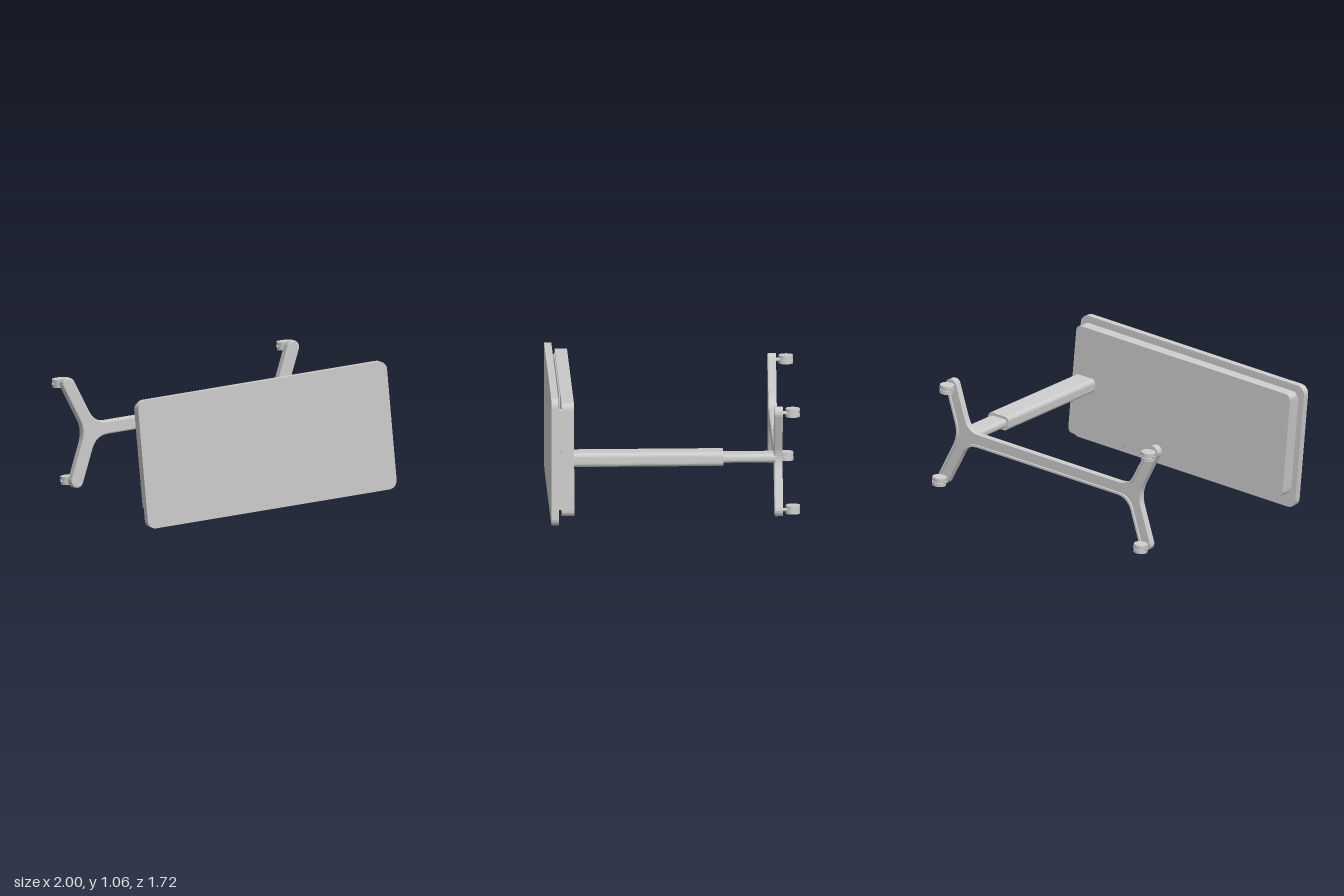
import * as THREE from 'three';

const grey = new THREE.MeshStandardMaterial({ color: 0xcccccc, flatShading: true });

function add(parent, name, geometry, x = 0, y = 0, z = 0) {
  const mesh = new THREE.Mesh(geometry, grey);
  mesh.name = name;
  mesh.position.set(x, y, z);
  parent.add(mesh);
  return mesh;
}

// Rounded rectangle centred on the origin
function roundedRect(w, h, r) {
  const s = new THREE.Shape(), x = w / 2 - r, y = h / 2 - r, q = Math.PI / 2;
  s.absarc(x, y, r, 0, q);
  s.absarc(-x, y, r, q, 2 * q);
  s.absarc(-x, -y, r, 2 * q, 3 * q);
  s.absarc(x, -y, r, 3 * q, 4 * q);
  s.closePath();
  return s;
}

const slab = (shape, depth, curveSegments = 5) =>
  new THREE.ExtrudeGeometry(shape, { depth, curveSegments, bevelEnabled: false });

// Housing back: rounded rectangle whose lower edge steps up for a hand grip
function housingShape() {
  const s = new THREE.Shape(), X = 0.91, T = 0.41, B = -0.388, G = -0.348, r = 0.045;
  s.moveTo(X - r, T);
  s.lineTo(-X + r, T);
  s.quadraticCurveTo(-X, T, -X, T - r);
  s.lineTo(-X, G + r);
  s.quadraticCurveTo(-X, G, -X + r, G);
  s.lineTo(0.4, G);
  s.bezierCurveTo(0.44, G, 0.44, B, 0.48, B);
  s.lineTo(X - r, B);
  s.quadraticCurveTo(X, B, X, B + r);
  s.lineTo(X, T - r);
  s.quadraticCurveTo(X, T, X - r, T);
  return s;
}

const JOINT = 0.715, TIP = new THREE.Vector2(0.857, 0.342);

// Outline of the foot frame: a cross bar with a forked pair of legs at each end
function frameOutline(r) {
  const joint = new THREE.Vector2(JOINT, 0);
  const d = TIP.clone().sub(joint).normalize();
  const n = new THREE.Vector2(d.y, -d.x);
  const fillet = 0.09;
  const outer = new THREE.Vector2(JOINT + r / n.x, 0);
  const inner = joint.clone().addScaledVector(n, -r);
  inner.addScaledVector(d, (r - inner.y) / d.y);
  const quad = [];
  // half of the fillet between the two legs, run along the outer edge
  const a = outer.clone().addScaledVector(d, fillet);
  const b = new THREE.Vector2(a.x, -a.y);
  quad.push(...new THREE.QuadraticBezierCurve(b, outer, a).getPoints(8).slice(4));
  // rounded leg tip
  for (let i = 0; i <= 8; i++) {
    const t = (i / 8) * Math.PI;
    quad.push(TIP.clone().addScaledVector(n, r * Math.cos(t)).addScaledVector(d, r * Math.sin(t)));
  }
  // fillet between leg and cross bar
  const c = inner.clone().addScaledVector(d, fillet);
  const e = new THREE.Vector2(inner.x - fillet, r);
  quad.push(...new THREE.QuadraticBezierCurve(c, inner, e).getPoints(5));
  const flip = (sx, sy) => quad.map(p => new THREE.Vector2(p.x * sx, p.y * sy));
  return [
    ...quad,
    ...flip(-1, 1).reverse(),
    ...flip(-1, -1).slice(1),
    ...flip(1, -1).reverse().slice(0, -1),
  ];
}

function makeFootFrame() {
  const frame = new THREE.Group();
  frame.name = 'footFrame';
  // top plate with bevelled upper edge
  const plate = new THREE.ExtrudeGeometry(new THREE.Shape(frameOutline(0.046)), {
    depth: 0.025, bevelEnabled: true, bevelThickness: 0.01, bevelSize: 0.01,
    bevelOffset: -0.01, bevelSegments: 2,
  });
  add(frame, 'framePlate', plate, 0, 0, -0.715);
  // raised rim around the hollow underside
  const rim = new THREE.Shape(frameOutline(0.046));
  rim.holes.push(new THREE.Path(frameOutline(0.032)));
  add(frame, 'frameRim', slab(rim, 0.037), 0, 0, -0.74);
  // casters under each leg tip
  for (const sx of [-1, 1]) for (const sy of [-1, 1]) {
    const caster = new THREE.Group();
    caster.name = 'caster';
    caster.position.set(sx * TIP.x, sy * TIP.y, 0);
    const stem = add(caster, 'casterStem', new THREE.CylinderGeometry(0.013, 0.013, 0.075, 10), 0, 0, -0.755);
    stem.rotation.x = Math.PI / 2;
    for (const side of [-1, 1])
      add(caster, 'casterWheel', new THREE.CylinderGeometry(0.05, 0.05, 0.024, 16), -0.016, side * 0.017, -0.809);
    add(caster, 'casterHub', new THREE.CylinderGeometry(0.043, 0.043, 0.03, 16), -0.016, 0, -0.807);
    add(caster, 'casterFork', new THREE.BoxGeometry(0.112, 0.014, 0.02), -0.016, 0, -0.809);
    frame.add(caster);
  }
  return frame;
}

export function createModel() {
  const model = new THREE.Group();
  model.name = 'overbedTable';
  // the whole table lies on its side, slightly tilted
  const table = new THREE.Group();
  table.name = 'tiltedTable';
  table.position.set(-0.0175, 0.53, 0);
  table.rotation.z = THREE.MathUtils.degToRad(5.35);
  model.add(table);

  add(table, 'tableTop', slab(roundedRect(1.9, 0.9, 0.06), 0.05), 0, 0, 0.808);

  // drawer housing with an open slot below the table top
  add(table, 'housing', slab(housingShape(), 0.086), 0, 0, 0.7);
  for (const side of [-1, 1]) {
    const h = side > 0 ? 0.70 : 0.66;
    add(table, 'housingSpacer', new THREE.BoxGeometry(0.065, h, 0.026), side * 0.875, side > 0 ? 0.011 : 0.031, 0.797);
  }
  add(table, 'tray', new THREE.BoxGeometry(1.38, 0.71, 0.008), -0.15, 0.031, 0.789);

  // telescopic column
  add(table, 'outerColumn', slab(roundedRect(0.172, 0.1, 0.03), 1.03, 3), 0.804, 0.005, -0.33);
  add(table, 'innerColumn', slab(roundedRect(0.144, 0.061, 0.025), 0.37, 3), 0.804, 0.005, -0.69);

  const frame = makeFootFrame();
  frame.position.set(0.088, 0.002, 0);
  table.add(frame);
  return model;
}
